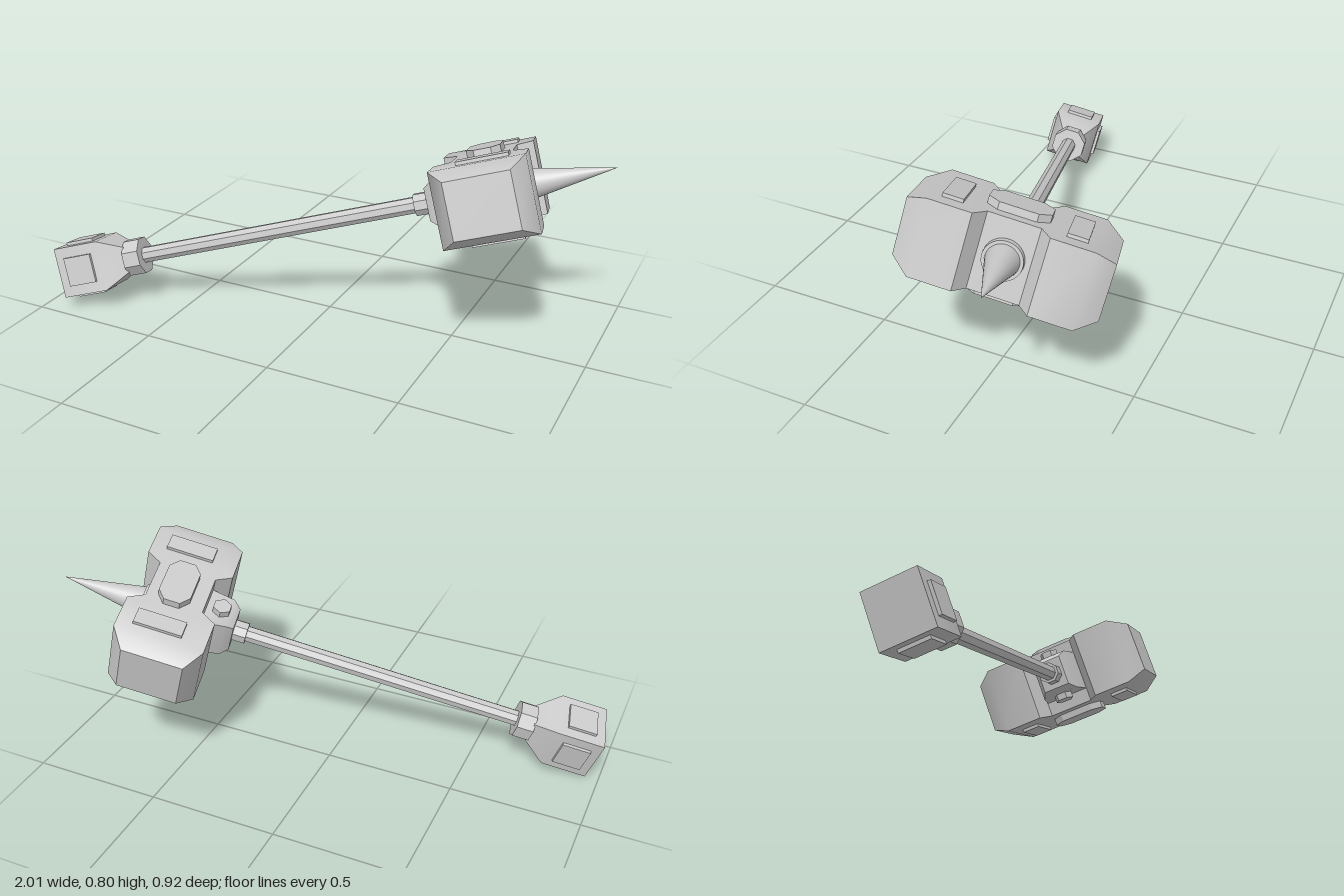
import * as THREE from 'three';
import { toCreasedNormals } from 'three/addons/utils/BufferGeometryUtils.js';

const smooth = new THREE.MeshStandardMaterial({ color: 0xcccccc });
const flat = new THREE.MeshStandardMaterial({ color: 0xcccccc, flatShading: true });

// Rectangular cross-sections [x, halfHeight, halfWidth] joined along x and capped
function loft(sections) {
  const corners = [[1, 1], [1, -1], [-1, -1], [-1, 1]];
  const pos = [], idx = [];
  sections.forEach(([x, h, w], s) => {
    corners.forEach(([y, z]) => pos.push(x, y * h, z * w));
    if (s === 0) return;
    for (let k = 0; k < 4; k++) {
      const n = (k + 1) % 4, p = (s - 1) * 4, q = s * 4;
      idx.push(p + k, q + k, q + n, p + k, q + n, p + n);
    }
  });
  const e = (sections.length - 1) * 4;
  idx.push(0, 1, 2, 0, 2, 3, e, e + 2, e + 1, e, e + 3, e + 2);
  const g = new THREE.BufferGeometry();
  g.setAttribute('position', new THREE.Float32BufferAttribute(pos, 3));
  g.setIndex(idx);
  return toCreasedNormals(g, 0.75);
}

// Cylinder or cone lying along x from x0 to x1
function rod(x0, x1, r0, r1, sides) {
  return new THREE.CylinderGeometry(r1, r0, x1 - x0, sides)
    .rotateY(Math.PI / sides).rotateZ(-Math.PI / 2).translate((x0 + x1) / 2, 0, 0);
}

export function createModel() {
  const root = new THREE.Group();
  root.name = 'warHammer';
  // Hammer space: x runs along the handle to the spike tip, z along the head
  const hammer = new THREE.Group();
  hammer.name = 'hammer';
  const along = new THREE.Vector3(0.926, 0.269, -0.265).normalize();
  const side = new THREE.Vector3(0.205, 0.229, 0.952);
  side.addScaledVector(along, -side.dot(along)).normalize();
  const up = side.clone().cross(along);
  hammer.quaternion.setFromRotationMatrix(new THREE.Matrix4().makeBasis(along, up, side));
  hammer.position.set(0.997, 0.684, -0.204);
  root.add(hammer);

  const add = (name, geometry, material = flat) => {
    const m = new THREE.Mesh(geometry, material);
    m.name = name;
    hammer.add(m);
    return m;
  };

  // Head: two bevelled lobes and a narrower waist
  const headX = -0.437;
  const half = [[0.342, 0.1, 0.113], [0.272, 0.135, 0.165], [0.125, 0.135, 0.165], [0.088, 0.135, 0.108]];
  const sections = [
    ...half.map(([t, h, w]) => [-t, h, w]),
    ...half.slice().reverse(),
  ];
  add('head', loft(sections).rotateY(Math.PI / 2).translate(headX, 0, 0), smooth);

  // Elongated octagonal medallion outline
  const oct = new THREE.Shape([
    [0.03, 0.105], [-0.03, 0.105], [-0.06, 0.065], [-0.06, -0.065],
    [-0.03, -0.105], [0.03, -0.105], [0.06, -0.065], [0.06, 0.065],
  ].map(([x, y]) => new THREE.Vector2(x, y)));

  for (const s of [1, -1]) {
    const place = s > 0 ? 'top' : 'bottom';
    for (const z of [0.203, -0.203]) {
      add(place + 'HeadPanel', new THREE.BoxGeometry(0.18, 0.03, 0.07).translate(-0.42, s * 0.132, z));
    }
    add(place + 'Medallion', new THREE.ExtrudeGeometry(oct, { depth: 0.04, bevelEnabled: false })
      .translate(0, 0, -0.02).rotateX(Math.PI / 2).translate(-0.43, s * 0.142, 0));
    // Hexagonal rivets on the socket
    add(place + 'Rivet', new THREE.CylinderGeometry(0.036, 0.036, 0.04, 6).translate(-0.602, s * 0.085, 0));
  }

  // Spike and its ring
  add('spikeRing', toCreasedNormals(rod(-0.35, -0.308, 0.07, 0.068, 32), 0.6), smooth);
  add('spike', rod(-0.33, 0, 0.061, 0, 32), smooth);

  // Socket joining head and handle
  add('socket', loft([[-0.665, 0.06, 0.052], [-0.635, 0.08, 0.072], [-0.53, 0.08, 0.09]]), smooth);
  add('socketCollar', rod(-0.715, -0.65, 0.042, 0.042, 8));

  // Handle
  add('handle', rod(-1.86, -0.65, 0.031, 0.031, 8));
  add('pommelCollar', rod(-1.855, -1.79, 0.072, 0.072, 8));

  // Pommel with a raised panel on each of its four sides
  add('pommel', loft([[-2.112, 0.096, 0.096], [-1.935, 0.096, 0.096], [-1.85, 0.05, 0.05]]), smooth);
  for (let i = 0; i < 4; i++) {
    add('pommelPanel', new THREE.BoxGeometry(0.11, 0.03, 0.11).translate(-2.02, 0.093, 0))
      .rotation.x = i * Math.PI / 2;
  }
  return root;
}
